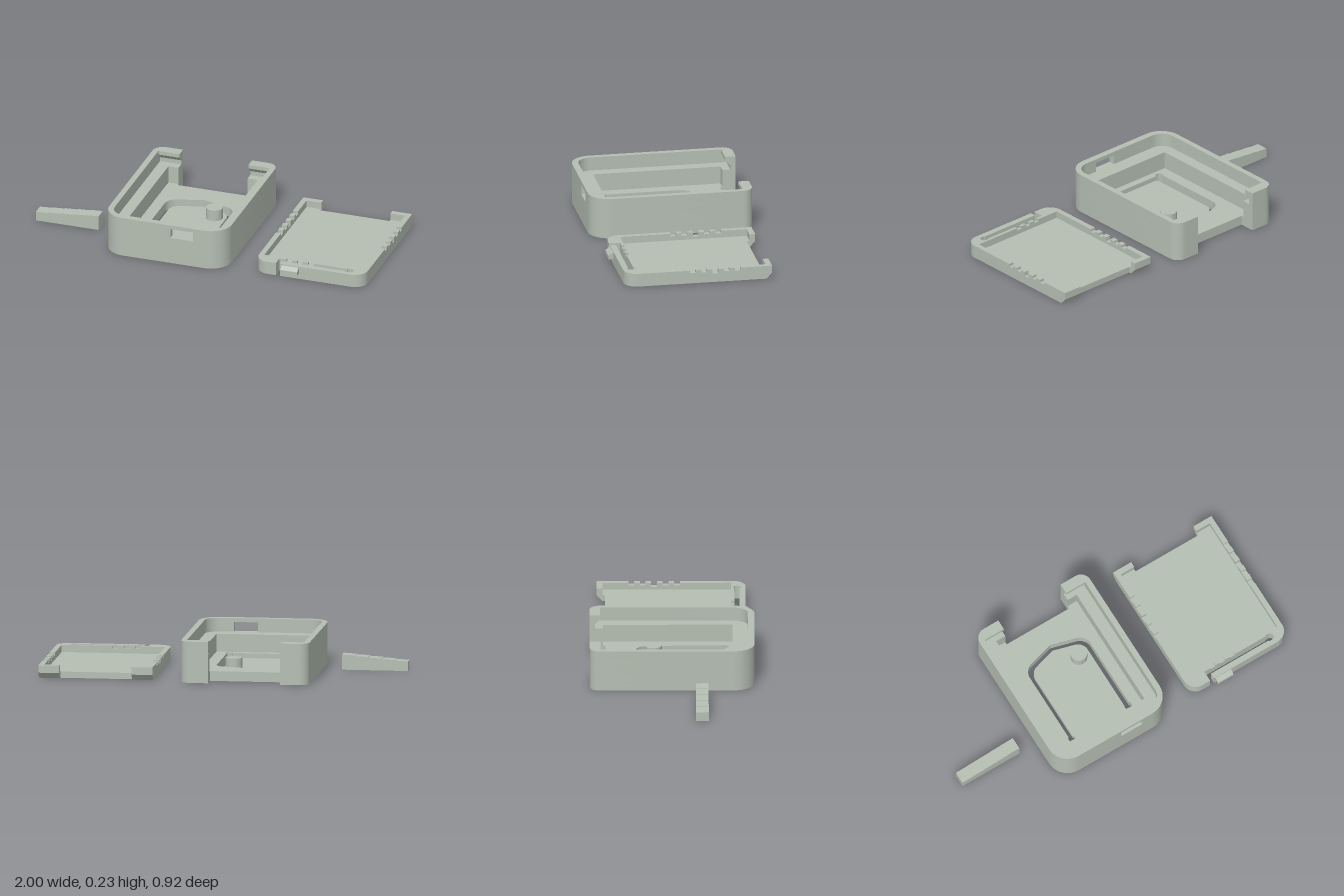
import * as THREE from 'three';
import { toCreasedNormals } from 'three/addons/utils/BufferGeometryUtils.js';

const plastic = new THREE.MeshStandardMaterial({ color: 0xb5beb3 });
plastic.name = 'sage grey plastic';

// Trace a polygon of [a, b, cornerRadius] points with rounded corners
function trace(path, pts) {
  const n = pts.length;
  const toward = (p, q, d) => {
    const l = Math.hypot(q[0] - p[0], q[1] - p[1]);
    return [p[0] + (q[0] - p[0]) * d / l, p[1] + (q[1] - p[1]) * d / l];
  };
  pts.forEach((p, i) => {
    const r = p[2] || 0, prev = pts[(i + n - 1) % n], next = pts[(i + 1) % n];
    const a = r ? toward(p, prev, r) : p;
    if (i === 0) path.moveTo(a[0], a[1]); else path.lineTo(a[0], a[1]);
    if (r) {
      const c = toward(p, prev, r * 0.448), d = toward(p, next, r * 0.448), b = toward(p, next, r);
      path.bezierCurveTo(c[0], c[1], d[0], d[1], b[0], b[1]);
    }
  });
  path.closePath();
  return path;
}

function extrude(pts, depth, hole) {
  const shape = trace(new THREE.Shape(), pts);
  if (hole) shape.holes.push(trace(new THREE.Path(), hole));
  return new THREE.ExtrudeGeometry(shape, { depth, bevelEnabled: false, curveSegments: 10 });
}

function add(group, name, geo) {
  const mesh = new THREE.Mesh(toCreasedNormals(geo, 0.5), plastic);
  mesh.name = name;
  group.add(mesh);
  return mesh;
}

// Plan outline (x, z) raised from y0 to y1
const slab = (g, name, pts, y0, y1, hole) =>
  add(g, name, extrude(pts, y1 - y0, hole).rotateX(Math.PI / 2).translate(0, y1, 0));
// Side profile (z, y) running from x0 to x1
const alongX = (g, name, pts, x0, x1) =>
  add(g, name, extrude(pts, x1 - x0).rotateY(-Math.PI / 2).translate(x1, 0, 0));
// Front profile (x, y) running from z0 to z1
const alongZ = (g, name, pts, z0, z1) =>
  add(g, name, extrude(pts, z1 - z0).translate(0, 0, z0));

const mirror = pts => pts.map(([x, z, r]) => [-x, z, r]).reverse();
const OPEN = 0.203; // half width of the cable opening

function makeCase() {
  const g = new THREE.Group();
  g.name = 'case';
  const W = 0.36, B = -0.46, F = 0.457;

  // U-shaped wall with a given inner half width, depth and radius
  const wall = (xi, zb, zf, r) => {
    const half = [[OPEN, zb], [OPEN, B], [W, B, 0.06], [W, F, 0.12]];
    const inner = [[-OPEN, zb], [-xi, zb], [-xi, zf, r], [xi, zf, r], [xi, zb]];
    return [...half, ...mirror(half), ...inner.slice(1)];
  };

  // Spring tab slot: arched channel with a relief bulb at each end
  const outerSide = [[-0.197, 0.278], [-0.197, -0.185, 0.05], [0, -0.24], [0.197, -0.185, 0.05], [0.197, 0.278]];
  const innerSide = [[0.17, 0.278], [0.17, -0.165, 0.045], [0, -0.213], [-0.17, -0.165, 0.045], [-0.17, 0.278]];
  const bulb = [[0.204, 0.278], [0.204, 0.313, 0.016], [0.164, 0.313, 0.016]];
  const slot = [...outerSide, ...bulb, [0.164, 0.278], ...innerSide, [-0.164, 0.278], ...mirror(bulb)];
  const recess = [...outerSide, ...bulb, [0.164, 0.295], [-0.164, 0.295], ...mirror(bulb)];

  const floorHalf = [[OPEN, -0.37], [OPEN, B], [W, B, 0.06], [W, F, 0.12]];
  const floor = [...floorHalf, ...mirror(floorHalf)];
  slab(g, 'floorWithSpringTab', floor, 0, 0.028, slot);
  slab(g, 'recessedFloor', floor, 0.028, 0.055, recess);
  slab(g, 'lowerWall', wall(0.2625, -0.385, 0.335, 0), 0.055, 0.155);

  // Wall beside the latch window, one piece on each side
  const side = (s, xw) => [[OPEN, B], [W, B, 0.06], [W, F, 0.12], [xw, F], [xw, 0.42],
    [0.3275, 0.42, 0.08], [0.3275, -0.43], [OPEN, -0.43]].map(([x, z, r]) => [s * x, z, r]);
  slab(g, 'rightUpperWall', side(-1, -0.04), 0.155, 0.21);
  slab(g, 'leftUpperWall', side(1, 0.175), 0.155, 0.21);
  slab(g, 'topRim', wall(0.3275, -0.4, 0.42, 0.08), 0.21, 0.232);

  // Sloped catches under the rim of the rear posts
  for (const s of [-1, 1]) {
    const x = s * 0.265;
    alongX(g, 'rearCatch', [[-0.43, 0.18], [-0.4, 0.21], [-0.43, 0.21]], x - 0.062, x + 0.062);
  }

  const button = add(g, 'springButton', new THREE.CylinderGeometry(0.047, 0.047, 0.065, 32));
  button.position.set(0.105, 0.0605, -0.105);
  g.position.x = -0.16;
  return g;
}

// Toothed profile: a top edge at 0.075 with notches [start, end, level]
function toothed(a0, a1, notches) {
  const pts = [[a0, 0.035], [a0, 0.075]];
  for (const [s, e, y] of notches) pts.push([s, 0.075], [s, y], [e, y], [e, 0.075]);
  return [...pts, [a1, 0.075], [a1, 0.035]];
}

function makeLid() {
  const g = new THREE.Group();
  g.name = 'lid';
  const W = 0.32, F = 0.41;
  const slitEnd = [[0.205, 0.343], [0.243, 0.343, 0.016], [0.243, 0.383, 0.016],
    [0.205, 0.383], [0.205, 0.377], [-0.17, 0.377], [-0.17, F]];

  // Floor, slit from the front edge to free the latch arm
  slab(g, 'lidFloor', [[-OPEN, -0.385], [-W, -0.385], [-W, F, 0.075], [-0.195, F], [-0.195, 0.348],
    [0.205, 0.348], ...slitEnd, [W, F, 0.075], [W, -0.385], [OPEN, -0.385],
    [OPEN, -0.37], [-OPEN, -0.37]], 0, 0.035);
  slab(g, 'frontCorner', [[-W, 0.33], [-W, F, 0.075], [-0.195, F], [-0.195, 0.33]], 0.035, 0.075);
  slab(g, 'latchArm', [[0.205, 0.33], ...slitEnd, [W, F, 0.075], [W, 0.33]], 0.035, 0.075);

  // Vent notches in the front and side rims
  const frontNotches = [0, 1, 2].map(i => [-0.155 + i * 0.0635, -0.123 + i * 0.0635, 0.06]);
  alongZ(g, 'frontRim', toothed(-0.195, 0.205, frontNotches), 0.33, 0.348);
  const sideNotches = [0, 1, 2, 3, 4].map(i =>
    [-0.24 + i * 0.0635, -0.208 + i * 0.0635, i === 2 ? 0.05 : 0.06]);
  for (const s of [-1, 1]) {
    const x = s * 0.305;
    alongX(g, 'sideRim', toothed(-0.385, 0.33, sideNotches), x - 0.015, x + 0.015);
    // Chamfered hook at the rear
    const h = s * (W + OPEN) / 2, w = (W - OPEN) / 2;
    alongX(g, 'rearHook', [[-0.385, 0], [-0.417, 0.033], [-0.417, 0.075], [-0.385, 0.075]], h - w, h + w);
  }
  alongX(g, 'latch', [[F, 0.032], [0.438, 0.032], [0.438, 0.052], [0.415, 0.07], [F, 0.07]], -0.16, -0.06);
  g.position.x = 0.68;
  return g;
}

// Stepped wedge with gently rising treads
function makeWedge(g) {
  const pts = [[-0.63, 0], [-1, 0]];
  for (let i = 0; i < 5; i++) {
    const x = -1 + i * 0.074, y = 0.053 + i * 0.007;
    pts.push([x, y], [x + 0.074, y + 0.004]);
  }
  alongZ(g, 'steppedWedge', pts, 0.13, 0.2);
}

export function createModel() {
  const model = new THREE.Group();
  model.name = 'snapCase';
  model.add(makeCase(), makeLid());
  makeWedge(model);
  return model;
}
